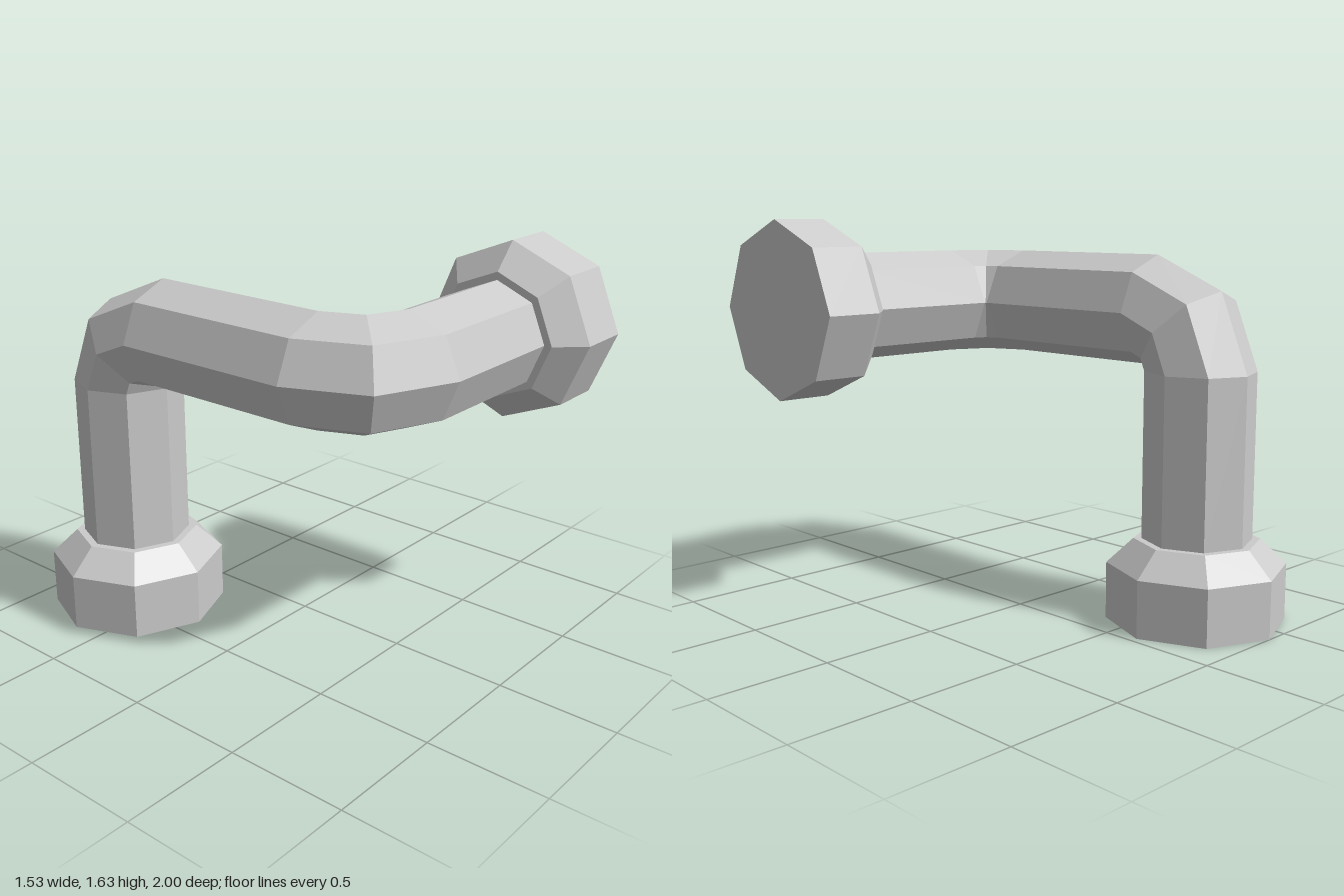
import * as THREE from 'three';

const SIDES = 8;
const R = 0.227;    // pipe radius
const BEND = 0.233; // bend radius of the centre line
const TOP = 1.263;  // height of the horizontal run

const material = () => new THREE.MeshStandardMaterial({
  color: 0xcccccc, flatShading: true, side: THREE.DoubleSide,
});
const v = (x, y, z) => new THREE.Vector3(x, y, z);

// Octagonal ring around c, square to dir; phase turns its first corner away from u
function ring({ c, u, dir }, phase) {
  const w = dir.clone().cross(u);
  return Array.from({ length: SIDES }, (_, i) => {
    const a = (i / SIDES) * Math.PI * 2 + phase;
    return c.clone().addScaledVector(u, R * Math.cos(a)).addScaledVector(w, R * Math.sin(a));
  });
}

// Three ring frames turning from direction d0 to d1, beginning at start
function bend(start, d0, d1) {
  const pivot = start.clone().addScaledVector(d1, BEND);
  return [0, 0.5, 1].map((t) => {
    const a = t * Math.PI / 2;
    const u = d1.clone().multiplyScalar(-Math.cos(a)).addScaledVector(d0, Math.sin(a));
    const dir = d0.clone().multiplyScalar(Math.cos(a)).addScaledVector(d1, Math.sin(a));
    return { c: pivot.clone().addScaledVector(u, BEND), u, dir };
  });
}

function pipeGeometry() {
  const X = v(1, 0, 0), Y = v(0, 1, 0), Z = v(0, 0, 1);
  const upright = [
    { c: v(-0.4, 0.34, -0.63), u: v(0, 0, -1), dir: Y },
    ...bend(v(-0.4, TOP - BEND, -0.63), Y, Z),
  ];
  const arm = [
    ...bend(v(-0.4, TOP, 0.63 - BEND), Z, X),
    { c: v(0.425, TOP, 0.63), u: Z, dir: X },
  ];
  // a quarter turn lines the corners of the second bend up with the first
  const rings = [
    ...upright.map((f) => ring(f, 0)),
    ...arm.map((f) => ring(f, -Math.PI / 2)),
  ];
  const pts = [];
  for (let k = 0; k < rings.length - 1; k++) {
    for (let i = 0; i < SIDES; i++) {
      const j = (i + 1) % SIDES;
      const [a, b, c, d] = [rings[k][i], rings[k][j], rings[k + 1][j], rings[k + 1][i]];
      pts.push(a, b, c, a, c, d);
    }
  }
  const g = new THREE.BufferGeometry().setFromPoints(pts);
  g.computeVertexNormals();
  return g;
}

// Wide collar tapering towards the pipe, optionally closed at its wide end
function collar(name, closed) {
  const profile = [[0.37, 0], [0.37, 0.237], [0.26, 0.34], [R, 0.34]];
  if (closed) profile.unshift([0, 0]);
  const g = new THREE.LatheGeometry(profile.map(([r, y]) => new THREE.Vector2(r, y)), SIDES);
  const mesh = new THREE.Mesh(g, material());
  mesh.name = name;
  return mesh;
}

export function createModel() {
  const group = new THREE.Group();
  group.name = 'bentPipe';

  const pipe = new THREE.Mesh(pipeGeometry(), material());
  pipe.name = 'pipe';

  const base = collar('baseCollar', false);
  base.position.set(-0.4, 0, -0.63);

  const end = collar('endCollar', true);
  end.rotation.z = Math.PI / 2;
  end.position.set(0.765, TOP, 0.63);

  group.add(pipe, base, end);
  return group;
}
